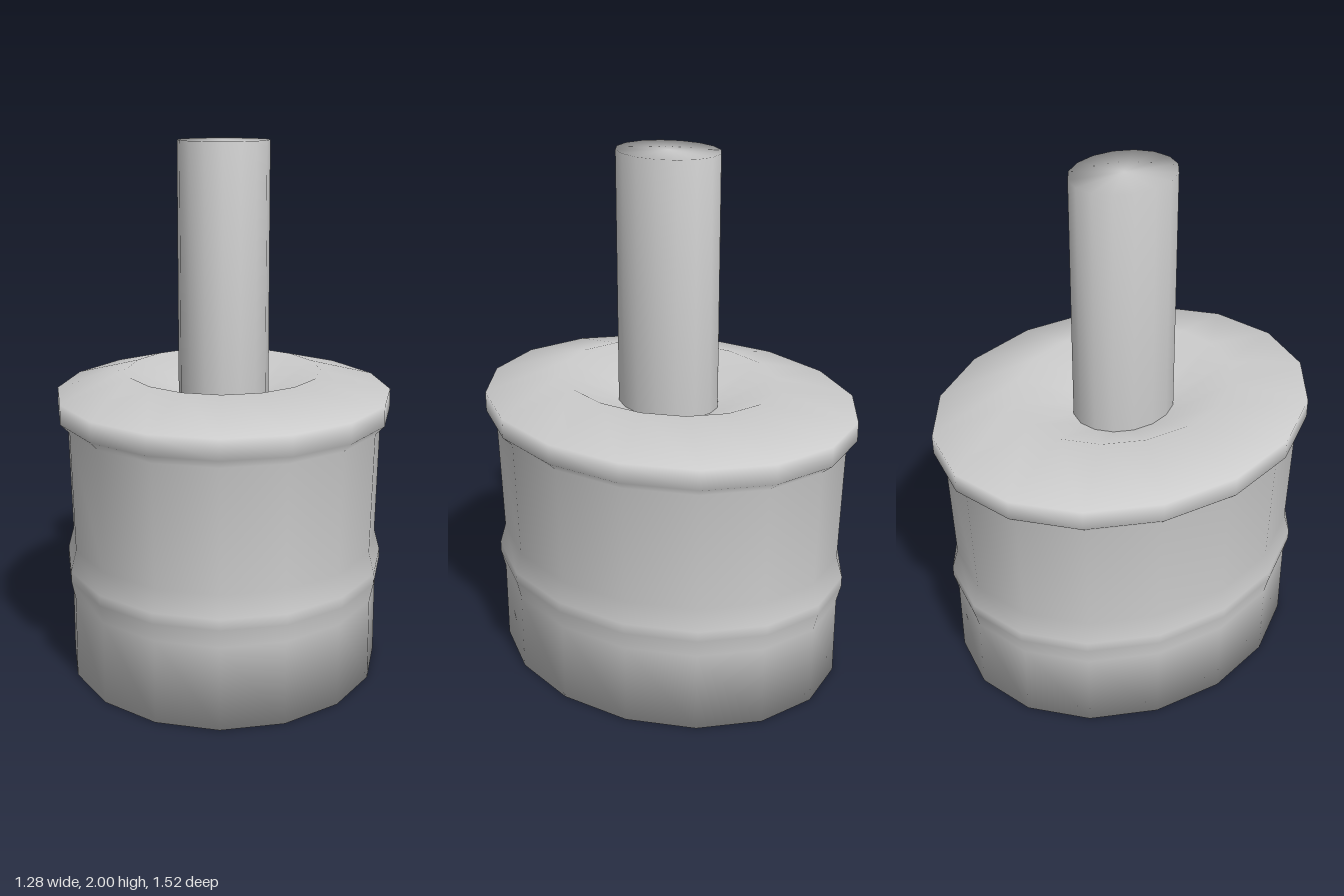
import * as THREE from 'three';

const SIDES = 16;
const DEPTH = 1.195; // oval plan: z radius relative to x radius

// Smooth oval solid turned from a [radius, y] profile, listed bottom to top
function turned(name, profile) {
  const points = profile.map(([r, y]) => new THREE.Vector2(r, y));
  const geometry = new THREE.LatheGeometry(points, SIDES);
  geometry.scale(1, 1, DEPTH);
  const material = new THREE.MeshStandardMaterial({ color: 0xcccccc, side: THREE.DoubleSide });
  const mesh = new THREE.Mesh(geometry, material);
  mesh.name = name;
  return mesh;
}

export function createModel() {
  const model = new THREE.Group();
  model.name = 'ovalPlunger';

  // Oval body: flat base, raised band, tapered wall, flared rim and dished top
  model.add(turned('body', [
    [0, 0], [0.598, 0], [0.598, 0.31],
    [0.613, 0.38], [0.613, 0.42], [0.592, 0.5],
    [0.604, 0.955], [0.638, 0.99], [0.638, 1.065],
    [0.37, 1.14], [0.172, 1.04], [0, 1.04],
  ]));

  // Upright post standing in the dish
  model.add(turned('post', [[0.172, 1.03], [0.172, 2], [0, 2]]));

  return model;
}
